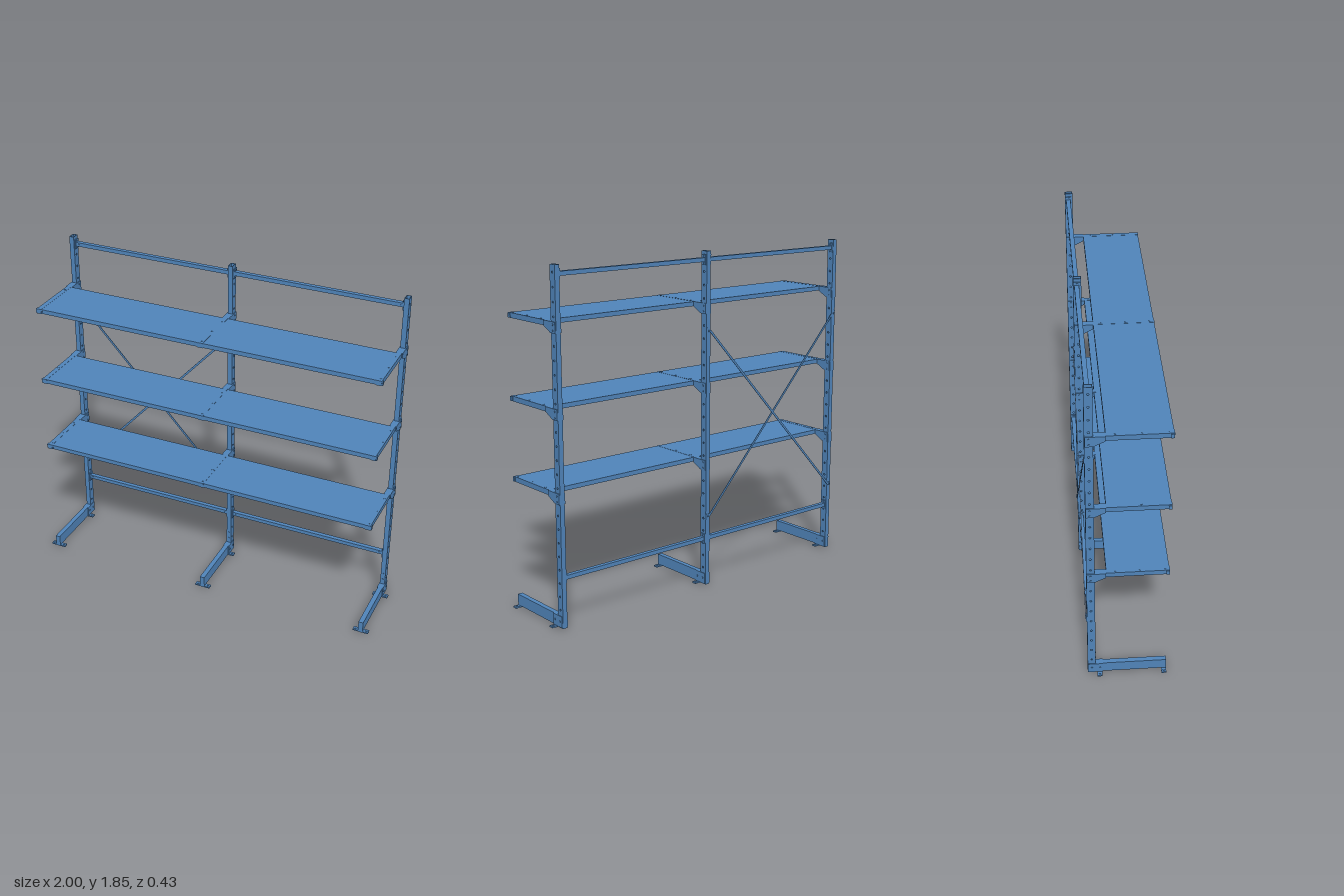
import * as THREE from 'three';

const material = new THREE.MeshStandardMaterial({ color: 0x4f83b8 });
const POSTS = [-0.956, 0, 0.956];
const SHELF_TOPS = [0.716, 1.143, 1.572];
const H = 1.846, Z0 = -0.205, Z1 = -0.163, ZC = (Z0 + Z1) / 2, HALF = 0.0135;

export function createModel() {
  const model = new THREE.Group();

  const add = (parent, name, geometry, x = 0, y = 0, z = 0) => {
    const mesh = new THREE.Mesh(geometry, material);
    mesh.name = name;
    mesh.position.set(x, y, z);
    parent.add(mesh);
    return mesh;
  };
  // Box given by its limits on each axis
  const box = (parent, name, x0, x1, y0, y1, z0, z1) =>
    add(parent, name, new THREE.BoxGeometry(x1 - x0, y1 - y0, z1 - z0),
      (x0 + x1) / 2, (y0 + y1) / 2, (z0 + z1) / 2);
  // Plate drawn in (z, y), centred on x = 0 with the given thickness
  const sidePlate = (points, thickness, holes = []) => {
    const shape = new THREE.Shape(points.map(([z, y]) => new THREE.Vector2(z, y)));
    for (const [z, y, r] of holes) {
      const hole = new THREE.Path();
      hole.absarc(z, y, r, 0, Math.PI * 2, true);
      shape.holes.push(hole);
    }
    return new THREE.ExtrudeGeometry(shape, { depth: thickness, bevelEnabled: false, curveSegments: 5 })
      .translate(0, 0, -thickness / 2).rotateY(-Math.PI / 2);
  };
  const bolt = (parent, axis, x, y, z, length, r = 0.005) => {
    const g = new THREE.CylinderGeometry(r, r, length, 8);
    if (axis === 'x') g.rotateZ(Math.PI / 2);
    if (axis === 'z') g.rotateX(Math.PI / 2);
    add(parent, 'bolt', g, x, y, z);
  };

  // Shared perforated side wall of the uprights
  const wall = 0.003;
  const holes = [];
  for (let y = 0.1; y < H - 0.03; y += 0.0712) holes.push([ZC, y, 0.0055]);
  const wallGeometry = sidePlate([[Z0, 0.004], [Z1, 0.004], [Z1, H], [Z0, H]], wall, holes);

  // Shared arm gusset, measured down from the shelf top
  const gussetGeometry = sidePlate(
    [[Z0 + 0.002, 0], [Z0 + 0.002, -0.056], [-0.163, -0.056], [-0.106, -0.027], [-0.106, 0]], 0.005);

  for (const px of POSTS) {
    const frame = new THREE.Group();
    frame.name = 'uprightFrame';
    frame.position.x = px;
    model.add(frame);

    // Hollow upright
    box(frame, 'uprightFront', -HALF, HALF, 0.004, H, Z1 - wall, Z1);
    box(frame, 'uprightBack', -HALF, HALF, 0.004, H, Z0, Z0 + wall);
    for (const s of [-1, 1]) add(frame, 'uprightSide', wallGeometry, s * (HALF - wall / 2));

    // Base leg, heel brackets and foot plates
    box(frame, 'baseLeg', -HALF, HALF, 0.008, 0.068, Z1, 0.21);
    for (const s of [-1, 1]) {
      box(frame, 'heelBracket', s * 0.0155 - 0.002, s * 0.0155 + 0.002, 0.008, 0.068, Z0 + 0.003, -0.125);
      for (const z of [-0.184, -0.14]) bolt(frame, 'x', s * 0.019, 0.04, z, 0.004);
    }
    for (const z of [-0.142, 0.197]) {
      box(frame, 'footPlate', -0.044, 0.044, 0, 0.008, z - 0.013, z + 0.013);
      for (const s of [-1, 1]) bolt(frame, 'y', s * 0.031, 0.009, z, 0.006, 0.006);
    }
    for (const y of [0.1, 0.14]) bolt(frame, 'z', 0, y, Z1, 0.003, 0.004);

    // Shelf arms with tapered gussets
    for (const top of SHELF_TOPS) {
      box(frame, 'shelfArm', -HALF, HALF, top - 0.027, top, Z1, 0.214);
      for (const s of [-1, 1]) {
        add(frame, 'armGusset', gussetGeometry, s * 0.016, top);
        box(frame, 'armEndTab', s * 0.0165 - 0.003, s * 0.0165 + 0.003, top - 0.025, top - 0.002, 0.196, 0.213);
        for (const y of [-0.014, -0.045]) bolt(frame, 'x', s * 0.0195, top + y, ZC, 0.004);
      }
      for (const z of [-0.06, 0.065, 0.19]) bolt(frame, 'y', 0, top, z, 0.003);
    }
  }

  // Two bays of shelves and horizontal rails
  for (let i = 0; i < 2; i++) {
    const a = POSTS[i], b = POSTS[i + 1];
    for (const top of SHELF_TOPS)
      box(model, 'shelfPanel', a + HALF, b - HALF, top - 0.025, top - 0.001, -0.105, 0.212);

    for (const y of [0.271, 1.801]) {
      box(model, 'rail', a + 0.018, b - 0.018, y - 0.011, y + 0.011, -0.199, -0.175);
      for (const [x, s] of [[a, 1], [b, -1]]) {
        const cx = x + s * 0.0165;
        box(model, 'railBracket', cx - 0.003, cx + 0.003, y - 0.027, y + 0.027, -0.202, -0.17);
        for (const dy of [-0.02, 0.02]) bolt(model, 'x', x + s * 0.021, y + dy, ZC, 0.004);
        bolt(model, 'z', x + s * 0.036, y, -0.175, 0.003, 0.004);
      }
    }
  }

  // Crossed bracing behind the first bay
  const left = -0.948, right = -0.008, low = 0.4, high = 1.425;
  const length = Math.hypot(right - left, high - low);
  const angle = Math.atan2(high - low, right - left);
  for (const s of [-1, 1]) {
    const strip = add(model, 'crossBrace', new THREE.BoxGeometry(length, 0.012, 0.003),
      (left + right) / 2, (low + high) / 2, -0.2095 - s * 0.0016);
    strip.rotation.z = s * angle;
  }
  for (const px of [POSTS[0], POSTS[1]]) {
    box(model, 'braceClip', px - 0.01, px + 0.016, high - 0.012, high + 0.018, -0.209, Z0);
    box(model, 'braceClip', px - 0.01, px + 0.016, low - 0.018, low + 0.012, -0.209, Z0);
    for (const y of [low, high]) bolt(model, 'z', px, y, -0.211, 0.008);
  }

  return model;
}
